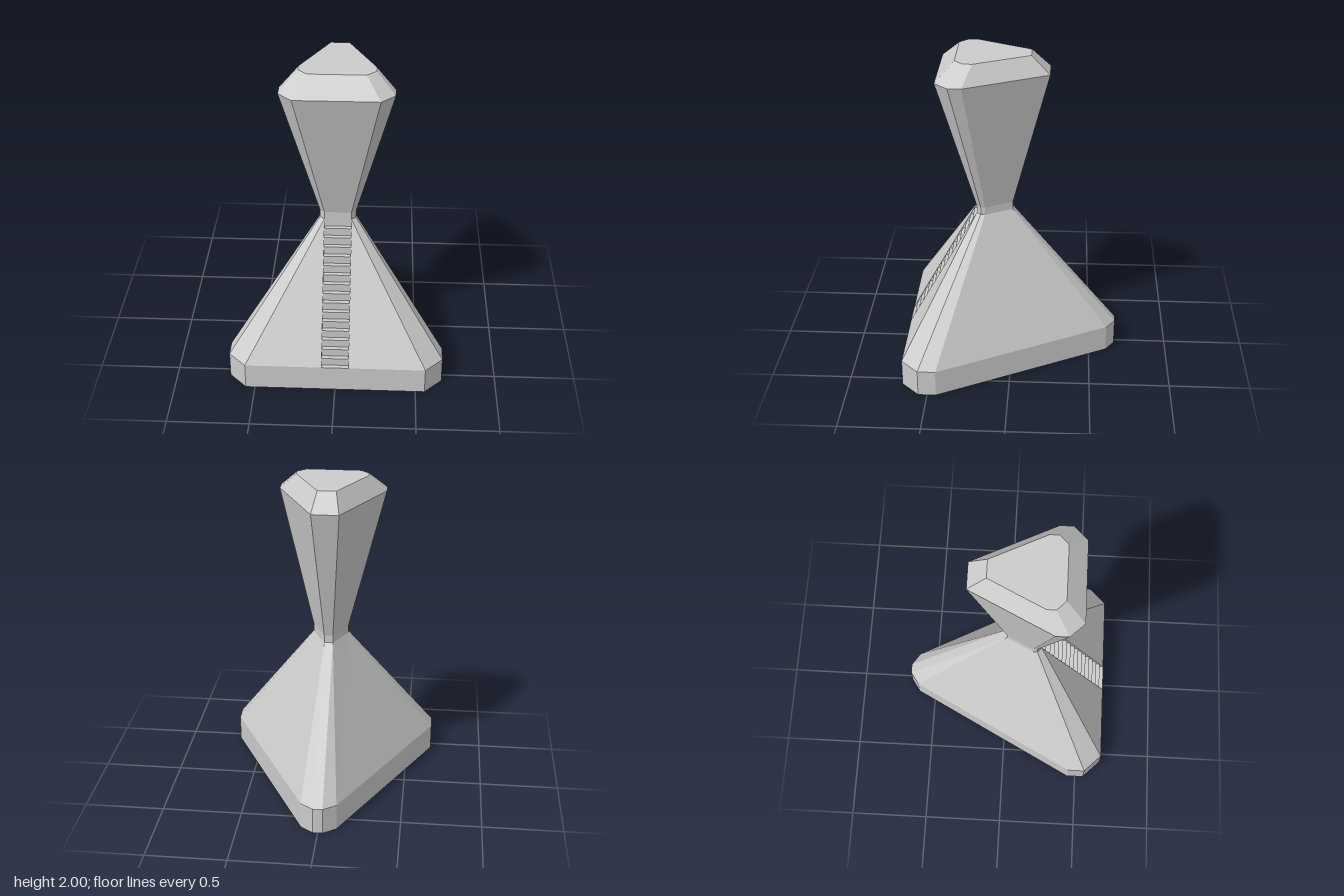
import * as THREE from 'three';

const material = new THREE.MeshStandardMaterial({ color: 0xcccccc, flatShading: true, side: THREE.DoubleSide });

// Closed ring at height y from its right half, listed front to back as [x, z]
function ring(half, y) {
  const right = half.map(([x, z]) => [x, y, z]);
  const left = half.map(([x, z]) => [-x, y, z]).reverse();
  return [...right, ...left];
}

// Walls between two rings; the last segment is the front one
function walls(lower, upper, skipFront = false) {
  const tris = [];
  const n = lower.length;
  for (let i = 0; i < (skipFront ? n - 1 : n); i++) {
    const j = (i + 1) % n;
    tris.push([lower[i], lower[j], upper[j]], [lower[i], upper[j], upper[i]]);
  }
  return tris;
}

function cap(points) {
  return points.slice(2).map((p, i) => [points[0], points[i + 1], p]);
}

function makeMesh(name, tris) {
  // Drop triangles collapsed by doubled ring corners
  const solid = tris.filter(t => new THREE.Triangle(...t.map(p => new THREE.Vector3(...p))).getArea() > 1e-7);
  const geometry = new THREE.BufferGeometry();
  geometry.setAttribute('position', new THREE.Float32BufferAttribute(solid.flat(2), 3));
  geometry.computeVertexNormals();
  const mesh = new THREE.Mesh(geometry, material);
  mesh.name = name;
  return mesh;
}

export function createModel() {
  const group = new THREE.Group();
  group.name = 'tower';

  const baseHalf = [[0.557, 0.665], [0.665, 0.555], [0.665, 0.445], [0.11, -0.612], [0.03, -0.667]];
  const waistHalf = [[0.083, 0.222], [0.111, 0.195], [0.111, 0.168], [0.027, 0]];
  const headHalf = [[0.25, 0.444], [0.333, 0.36], [0.333, 0.28], [0.083, -0.223]];
  const roofHalf = [[0.167, 0.332], [0.222, 0.278], [0.222, 0.223], [0.056, -0.111]];
  const baseY = 0.17, waistY = 0.975, neckY = 1.025, headY = 1.89;

  // Open-bottomed plinth
  group.add(makeMesh('baseWall', walls(ring(baseHalf, 0), ring(baseHalf, baseY))));

  // Sloping lower body, with the front left open for the stairway
  const baseRing = ring(baseHalf, baseY);
  const slopeTop = ring([...waistHalf, waistHalf[3]], waistY);
  const slope = walls(baseRing, slopeTop, true);
  const stairX = 0.083, frontZ = 0.665, topZ = 0.222;
  slope.push(
    [[stairX, baseY, frontZ], baseRing[0], slopeTop[0]],
    [baseRing.at(-1), [-stairX, baseY, frontZ], slopeTop.at(-1)]
  );
  group.add(makeMesh('lowerBody', slope));

  // Stairs recessed into the front slope
  const steps = 16;
  const stairs = [];
  for (let i = 0; i < steps; i++) {
    const y0 = THREE.MathUtils.lerp(baseY, waistY, i / steps);
    const y1 = THREE.MathUtils.lerp(baseY, waistY, (i + 1) / steps);
    const z0 = THREE.MathUtils.lerp(frontZ, topZ, i / steps);
    const z1 = THREE.MathUtils.lerp(frontZ, topZ, (i + 1) / steps);
    const [fl, fr] = [[-stairX, y0, z0], [stairX, y0, z0]];
    const [bl, br] = [[-stairX, y0, z1], [stairX, y0, z1]];
    const [tl, tr] = [[-stairX, y1, z1], [stairX, y1, z1]];
    stairs.push([fl, fr, br], [fl, br, bl], [bl, br, tr], [bl, tr, tl], [fl, bl, tl], [fr, tr, br]);
  }
  group.add(makeMesh('stairs', stairs));

  // Narrow waist, flaring upper body and bevelled roof
  const neckRing = ring(waistHalf, neckY);
  const headRing = ring(headHalf, headY);
  const roofRing = ring(roofHalf, 2);
  group.add(makeMesh('waist', walls(ring(waistHalf, waistY), neckRing)));
  group.add(makeMesh('upperBody', walls(neckRing, headRing)));
  group.add(makeMesh('roof', [...walls(headRing, roofRing), ...cap(roofRing)]));

  return group;
}
